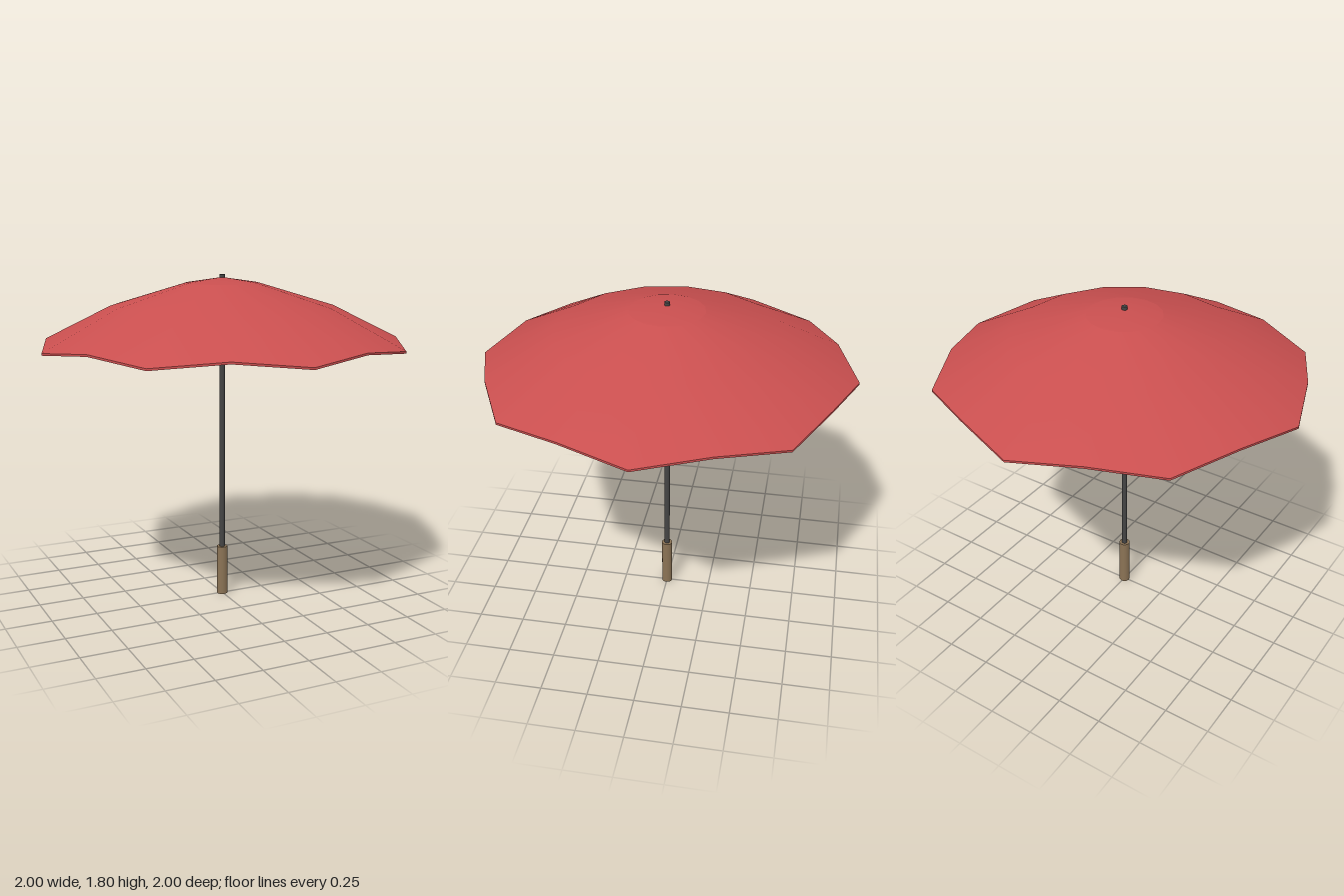
import * as THREE from 'three';
import { mergeVertices, toCreasedNormals } from 'three/addons/utils/BufferGeometryUtils.js';

const SIDES = 16; // eight ribs with one scallop point between each pair

// Lathe a profile, then draw the fabric inward and upward between the ribs
function fabric(profile) {
  const lathe = new THREE.LatheGeometry(profile.map(([r, y]) => new THREE.Vector2(r, y)), SIDES);
  const pos = lathe.attributes.position;
  for (let i = 0; i < pos.count; i++) {
    const x = pos.getX(i), z = pos.getZ(i), r = Math.hypot(x, z);
    const between = Math.sin(4 * Math.atan2(x, z)) ** 2; // 0 on a rib, 1 midway
    const pull = between * Math.max(0, (r - 0.6) / 0.4);
    pos.setXYZ(i, x * (1 - 0.05 * pull), pos.getY(i) + 0.032 * pull, z * (1 - 0.05 * pull));
  }
  lathe.deleteAttribute('uv');
  lathe.deleteAttribute('normal');
  return toCreasedNormals(mergeVertices(lathe), 0.8);
}

export function createModel() {
  const group = new THREE.Group();
  const red = new THREE.MeshStandardMaterial({ color: 0xc94f4f });
  const dark = new THREE.MeshStandardMaterial({ color: 0x444444 });
  const brown = new THREE.MeshStandardMaterial({ color: 0x8b7355 });

  const add = (name, geometry, material, y = 0) => {
    const mesh = new THREE.Mesh(geometry, material);
    mesh.name = name;
    mesh.position.y = y;
    group.add(mesh);
  };
  const rod = (name, radius, y0, y1, material) =>
    add(name, new THREE.CylinderGeometry(radius, radius, y1 - y0, 16), material, (y0 + y1) / 2);

  // Canopy: underside, thin hem, then the upper face
  add('canopy', fabric([
    [0, 1.778], [0.2, 1.748], [0.6, 1.628], [1, 1.423],
    [1, 1.434], [0.6, 1.64], [0.2, 1.76],
  ]), red);
  add('canopyCrown', fabric([[0.2, 1.76], [0, 1.79]]), red);

  // Pole with its tip showing above the crown, and the grip
  rod('pole', 0.015, 0.27, 1.805, dark);
  rod('handle', 0.03, 0, 0.28, brown);

  return group;
}
